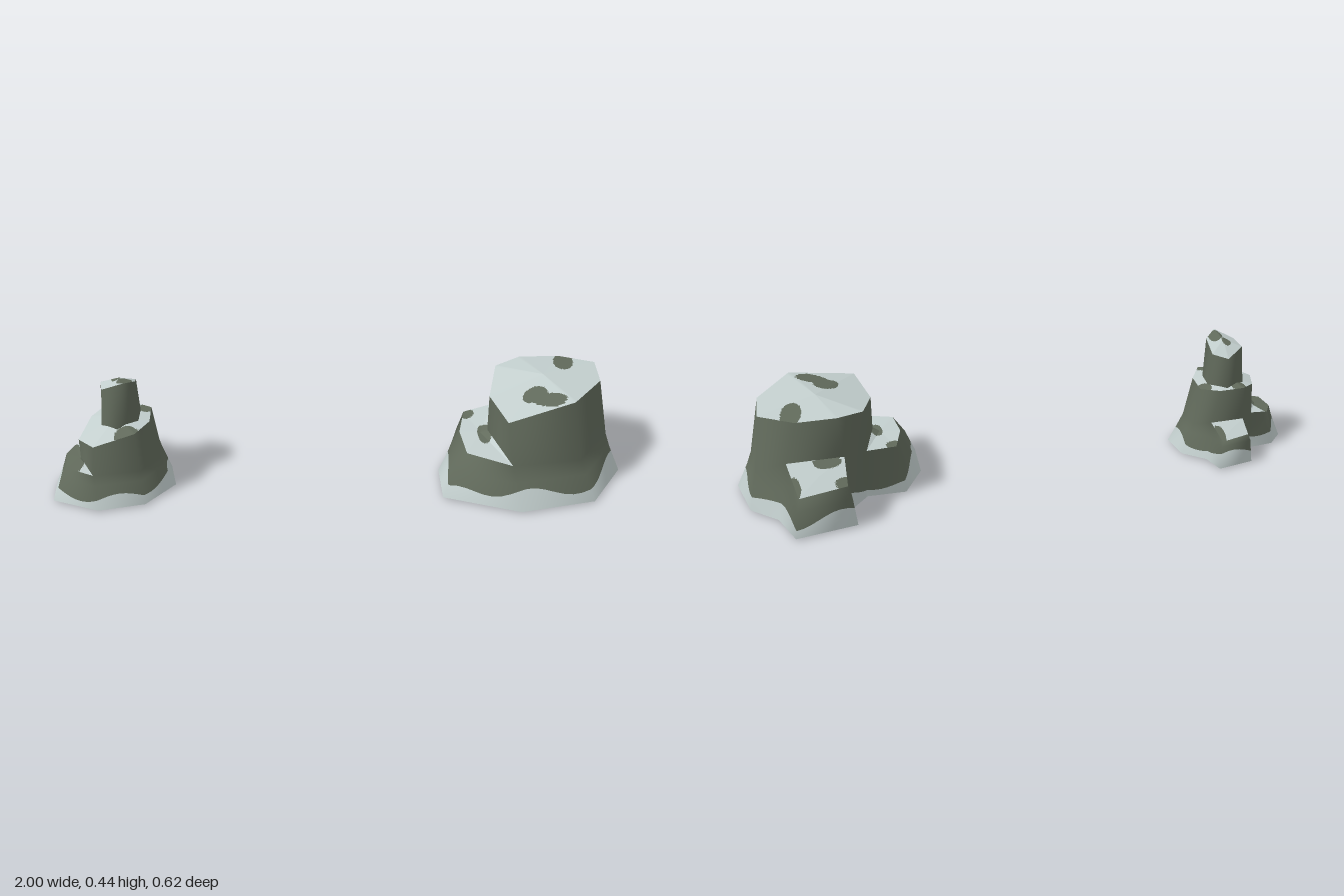
import * as THREE from 'three';

const stone = new THREE.MeshStandardMaterial({ color: 0x626b5c, side: THREE.DoubleSide });
stone.name = 'mossyStone';
const pale = new THREE.MeshStandardMaterial({ color: 0xc4d0cf, side: THREE.DoubleSide });
pale.name = 'paleCrust';

const SUB = 8; // subdivisions of each edge

// wavy upper edge of the pale band round the foot
const waveHeight = (p) => 0.058 + 0.018 * Math.cos(22 * (p.z - 0.07)) + 0.014 * Math.cos(22 * (p.x - 0.67));

// Smooth walls over shared corners; quads are [a, b, c, d], the first `banded` ones carry the pale band
function walls(corners, quads, banded, name) {
  const coarse = new THREE.BufferGeometry().setFromPoints(corners);
  coarse.setIndex(quads.flatMap(([a, b, c, d]) => [a, b, c, a, c, d]));
  coarse.computeVertexNormals();
  const { position, normal } = coarse.attributes;
  const read = (attr, k) => new THREE.Vector3().fromBufferAttribute(attr, k);
  const blend = (attr, [a, b, c, d], s, t) =>
    read(attr, a).lerp(read(attr, b), s).lerp(read(attr, d).lerp(read(attr, c), s), t);

  const pos = [], nor = [], index = [[], []];
  const strip = (q, from, to, slot) => {
    const start = pos.length / 3;
    for (let i = 0; i <= SUB; i++) {
      for (let j = 0; j <= 4; j++) {
        const s = i / SUB, t = THREE.MathUtils.lerp(from(s), to(s), j / 4);
        pos.push(...blend(position, q, s, t).toArray());
        nor.push(...blend(normal, q, s, t).normalize().toArray());
        if (i === SUB || j === 4) continue;
        const k = start + i * 5 + j;
        index[slot].push(k, k + 5, k + 6, k, k + 6, k + 1);
      }
    }
  };
  quads.forEach((q, n) => {
    const bottom = () => 0, top = () => 1;
    if (n >= banded) return strip(q, bottom, top, 0);
    const crest = (s) => {
      const lo = blend(position, q, s, 0), hi = blend(position, q, s, 1);
      return Math.min(0.97, (waveHeight(lo) - lo.y) / (hi.y - lo.y));
    };
    strip(q, bottom, crest, 1);
    strip(q, crest, top, 0);
  });
  const g = new THREE.BufferGeometry();
  g.setAttribute('position', new THREE.Float32BufferAttribute(pos, 3));
  g.setAttribute('normal', new THREE.Float32BufferAttribute(nor, 3));
  g.setIndex(index.flat());
  g.addGroup(0, index[0].length, 0);
  g.addGroup(index[0].length, index[1].length, 1);
  const mesh = new THREE.Mesh(g, [stone, pale]);
  mesh.name = name;
  return mesh;
}

// Pale cap over a corner loop, with bare stone ovals [x, z, rx, rz] and a lifted middle
function cap(loop, patches, lift, name) {
  const R = 32, edge = [], centre = new THREE.Vector3(0, lift, 0);
  loop.forEach((p, i) => {
    centre.addScaledVector(p, 1 / loop.length);
    const next = loop[(i + 1) % loop.length];
    for (let k = 0; k < 16; k++) edge.push(p.clone().lerp(next, k / 16));
  });
  edge.push(loop[0].clone());
  const w = edge.length, pts = [], index = [[], []];
  for (let r = 0; r <= R; r++) for (const p of edge) pts.push(centre.clone().lerp(p, r / R));
  const put = (...t) => {
    const x = (pts[t[0]].x + pts[t[1]].x + pts[t[2]].x) / 3;
    const z = (pts[t[0]].z + pts[t[1]].z + pts[t[2]].z) / 3;
    const wobble = 1 + 0.15 * Math.sin(45 * x + 30 * z);
    const bare = patches.some(([px, pz, rx, rz]) => Math.hypot((x - px) / rx, (z - pz) / rz) < wobble);
    index[bare ? 1 : 0].push(...t);
  };
  for (let r = 0; r < R; r++) {
    for (let i = 0; i < w - 1; i++) {
      const a = r * w + i;
      put(a, a + w, a + w + 1);
      if (r) put(a, a + w + 1, a + 1);
    }
  }
  const g = new THREE.BufferGeometry().setFromPoints(pts);
  g.setIndex(index.flat());
  g.addGroup(0, index[0].length, 0);
  g.addGroup(index[0].length, index[1].length, 1);
  g.computeVertexNormals();
  const mesh = new THREE.Mesh(g, [pale, stone]);
  mesh.name = name;
  return mesh;
}

// corners written as [x, z, y], or [x, z] at a common height
const ring = (pts, height) => pts.map(([x, z, y = height]) => new THREE.Vector3(x, y, z));
// quads between two loops of corner indices
const between = (low, high) => low.map((a, i) => {
  const j = (i + 1) % low.length;
  return [a, low[j], high[j], high[i]];
});
const range = (start, n) => Array.from({ length: n }, (_, i) => start + i);

// Rock: a foot with a side and a back ledge, and a body rising from its shoulder
const BODY = [0, 1, 2, 3, 4, 7, 8, 12], SIDE = [8, 9, 10, 11, 0, 12], BACK = [4, 5, 6, 7];
function rock(name, { foot, knee, shoulder, top, bare, lift }) {
  const group = new THREE.Group();
  group.name = name;
  const n = foot.length;
  const quads = [
    ...between(range(0, n), range(n, n)),
    ...between(range(n, n), range(2 * n, n)),
    ...between(BODY.map(i => 2 * n + i), range(3 * n + 1, 8)),
  ];
  group.add(
    walls([...foot, ...knee, ...shoulder, ...top], quads, n, name + 'Walls'),
    cap(top, bare.top, lift, name + 'Top'),
    cap(SIDE.map(i => shoulder[i]), bare.side, 0, name + 'SideLedge'),
    cap(BACK.map(i => shoulder[i]), bare.back, 0, name + 'BackLedge'),
  );
  return group;
}

export function createModel() {
  const model = new THREE.Group();
  model.name = 'rocks';

  const large = rock('largeRock', {
    foot: ring([[0.617, 0.31], [0.88, 0.26], [1, 0.08], [0.96, -0.1], [0.87, -0.18], [0.82, -0.313],
      [0.61, -0.265], [0.62, -0.15, 0], [0.56, -0.08, 0.003], [0.425, -0.08], [0.355, 0.055], [0.355, 0.215]], 0.006),
    knee: ring([[0.6, 0.27], [0.845, 0.228], [0.96, 0.065], [0.945, -0.1], [0.85, -0.172], [0.807, -0.3],
      [0.622, -0.255], [0.625, -0.155], [0.56, -0.085], [0.43, -0.07], [0.39, 0.055], [0.392, 0.195]], 0.1),
    shoulder: ring([[0.585, 0.248, 0.158], [0.825, 0.212, 0.15], [0.943, 0.058, 0.15], [0.932, -0.1, 0.16],
      [0.83, -0.165, 0.21], [0.8, -0.292, 0.145], [0.635, -0.25, 0.15], [0.635, -0.155, 0.21], [0.555, -0.09, 0.188],
      [0.45, -0.06, 0.178], [0.422, 0.06, 0.175], [0.435, 0.18, 0.168], [0.518, 0.07, 0.188]]),
    top: ring([[0.56, 0.235, 0.328], [0.79, 0.19, 0.375], [0.905, 0.04, 0.362], [0.91, -0.09, 0.357],
      [0.79, -0.148, 0.35], [0.65, -0.145, 0.352], [0.56, -0.1, 0.345], [0.52, 0.055, 0.318]]),
    lift: 0.024,
    bare: {
      top: [[0.67, 0.11, 0.045, 0.04], [0.71, 0.15, 0.05, 0.04], [0.8, -0.1, 0.035, 0.07]],
      side: [[0.505, 0.07, 0.025, 0.05], [0.45, -0.05, 0.03, 0.03]],
      back: [[0.69, -0.17, 0.05, 0.02], [0.65, -0.24, 0.03, 0.02], [0.81, -0.25, 0.02, 0.04]],
    },
  });

  const small = rock('smallRock', {
    foot: ring([[-0.84, 0.24], [-0.68, 0.21], [-0.58, 0.1], [-0.6, -0.01], [-0.675, -0.07], [-0.7, -0.147],
      [-0.83, -0.115], [-0.825, -0.045, 0], [-0.86, -0.01, 0.003], [-0.95, 0], [-1, 0.06], [-1, 0.175]], 0.006),
    knee: ring([[-0.845, 0.21], [-0.687, 0.185], [-0.618, 0.092], [-0.628, -0.01], [-0.685, -0.057], [-0.707, -0.138],
      [-0.822, -0.108], [-0.818, -0.045], [-0.86, 0], [-0.94, 0.012], [-0.967, 0.07], [-0.965, 0.16]], 0.09),
    shoulder: ring([[-0.85, 0.198, 0.125], [-0.69, 0.178, 0.125], [-0.63, 0.09, 0.12], [-0.637, -0.01, 0.125],
      [-0.69, -0.052, 0.145], [-0.71, -0.13, 0.106], [-0.815, -0.1, 0.11], [-0.812, -0.042, 0.145], [-0.862, 0.005, 0.14],
      [-0.93, 0.02, 0.13], [-0.955, 0.07, 0.128], [-0.945, 0.15, 0.125], [-0.898, 0.115, 0.142]]),
    top: ring([[-0.84, 0.19, 0.238], [-0.7, 0.16, 0.268], [-0.655, 0.08, 0.265], [-0.655, -0.01, 0.263],
      [-0.72, -0.042, 0.265], [-0.81, -0.035, 0.265], [-0.862, 0.02, 0.25], [-0.895, 0.13, 0.23]]),
    lift: 0.025,
    bare: {
      top: [[-0.72, 0.155, 0.045, 0.035], [-0.67, -0.005, 0.03, 0.025], [-0.8, -0.02, 0.025, 0.03]],
      side: [[-0.925, 0.1, 0.035, 0.08]],
      back: [[-0.705, -0.1, 0.02, 0.04]],
    },
  });

  // spire on the small rock
  const spireFoot = ring([[-0.765, 0.13], [-0.692, 0.085], [-0.688, 0.015], [-0.75, -0.032], [-0.825, 0.015], [-0.82, 0.09]], 0.235);
  const spireTop = ring([[-0.735, 0.112, 0.44], [-0.693, 0.07, 0.423], [-0.697, 0.005, 0.39],
    [-0.75, -0.018, 0.377], [-0.815, 0.03, 0.398], [-0.805, 0.09, 0.405]]);
  const spire = new THREE.Group();
  spire.name = 'spire';
  spire.add(
    walls([...spireFoot, ...spireTop], between(range(0, 6), range(6, 6)), 0, 'spireWalls'),
    cap(spireTop, [[-0.73, 0.075, 0.025, 0.025], [-0.76, 0.045, 0.018, 0.02]], 0.02, 'spireTop'),
  );
  small.add(spire);

  model.add(large, small);
  return model;
}
